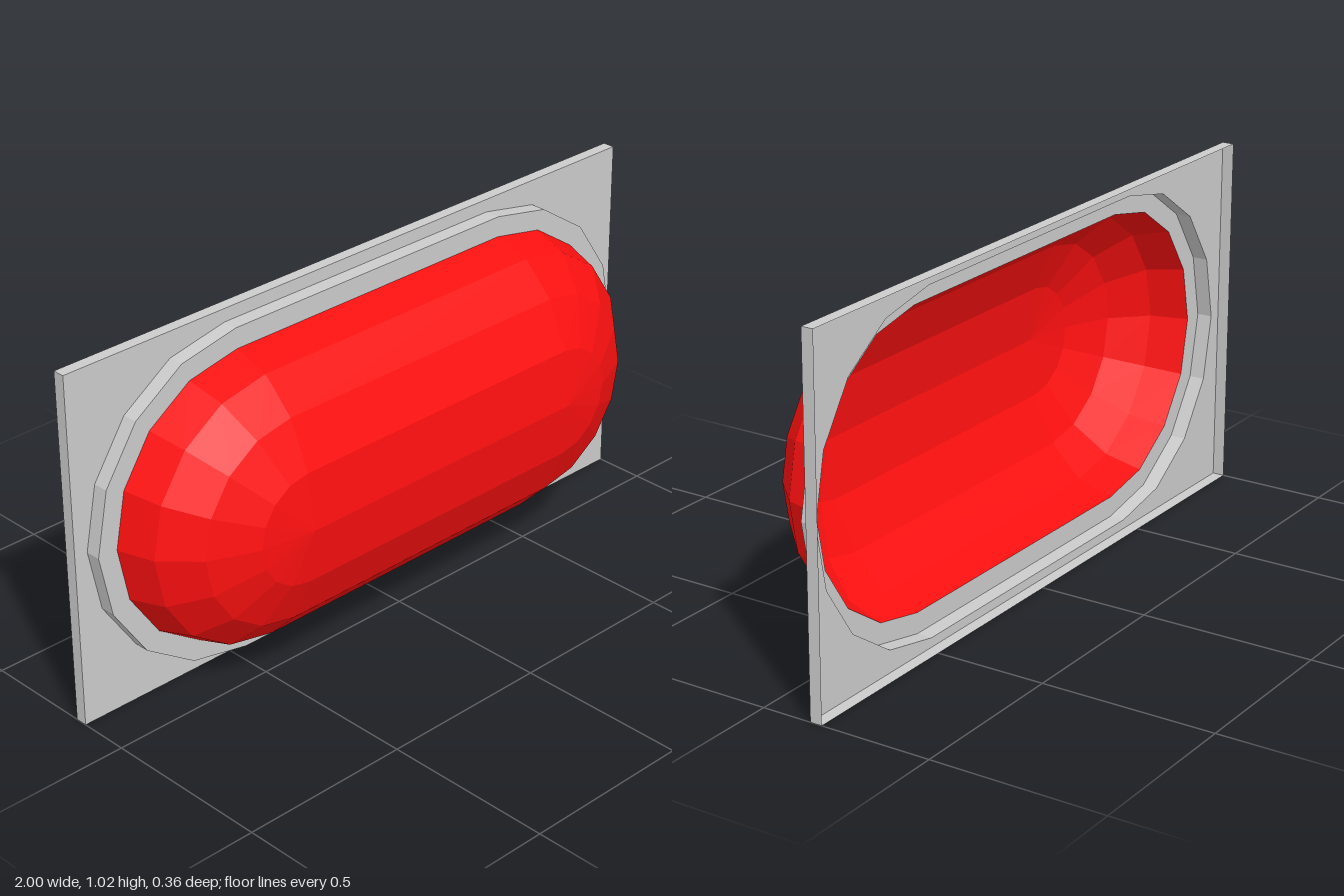
import * as THREE from 'three';

const CY = 0.507;      // height of the lens centre
const CAP = 0.48;      // x of the centre of each rounded end
const Z_BACK = -0.18, Z_PLATE = -0.145, Z_RIM = -0.1;

const grey = new THREE.MeshStandardMaterial({ color: 0xcccccc, flatShading: true, side: THREE.DoubleSide });
const red = new THREE.MeshStandardMaterial({ color: 0xff1010, flatShading: true, side: THREE.DoubleSide });

// Pill-shaped outline, counter-clockwise, eight facets per rounded end
function pill(r, z) {
  const points = [];
  for (const end of [0, 1]) {
    for (let i = 0; i <= 8; i++) {
      const a = -Math.PI / 2 + end * Math.PI + (i * Math.PI) / 8;
      points.push(new THREE.Vector3((end ? -CAP : CAP) + r * Math.cos(a), CY + r * Math.sin(a), z));
    }
  }
  return points;
}

// Rectangular outline of the backing plate, counter-clockwise
function rectangle(z) {
  return [[-1, 0], [1, 0], [1, 1.025], [-1, 1.025]].map(([x, y]) => new THREE.Vector3(x, y, z));
}

// Faceted skin through a row of closed outlines
function loft(outlines) {
  const positions = [];
  for (let k = 0; k + 1 < outlines.length; k++) {
    const a = outlines[k], b = outlines[k + 1];
    for (let i = 0; i < a.length; i++) {
      const j = (i + 1) % a.length;
      for (const p of [a[i], a[j], b[j], a[i], b[j], b[i]]) positions.push(p.x, p.y, p.z);
    }
  }
  const geometry = new THREE.BufferGeometry();
  geometry.setAttribute('position', new THREE.Float32BufferAttribute(positions, 3));
  geometry.computeVertexNormals();
  return geometry;
}

export function createModel() {
  const model = new THREE.Group();
  model.name = 'pillLight';
  const add = (name, geometry, material) => {
    const mesh = new THREE.Mesh(geometry, material);
    mesh.name = name;
    model.add(mesh);
  };

  // Backing plate: face with a pill-shaped opening, and a shallow edge open at the back
  const face = new THREE.Shape(rectangle(0).map(p => new THREE.Vector2(p.x, p.y)));
  face.holes.push(new THREE.Path(pill(0.48, 0).map(p => new THREE.Vector2(p.x, p.y))));
  add('plateFace', new THREE.ShapeGeometry(face).translate(0, 0, Z_PLATE), grey);
  add('plateEdge', loft([rectangle(Z_BACK), rectangle(Z_PLATE)]), grey);

  // Raised rim: outer wall, then a flat ledge in to the lens
  add('rim', loft([pill(0.48, Z_PLATE), pill(0.48, Z_RIM), pill(0.42, Z_RIM)]), grey);

  // Hollow domed lens with an elliptical profile
  const rings = [];
  for (let i = 0; i <= 4; i++) {
    const a = (i * Math.PI) / 8;
    rings.push(pill(0.42 * Math.cos(a), Z_RIM + 0.28 * Math.sin(a)));
  }
  add('lens', loft(rings), red);

  return model;
}
